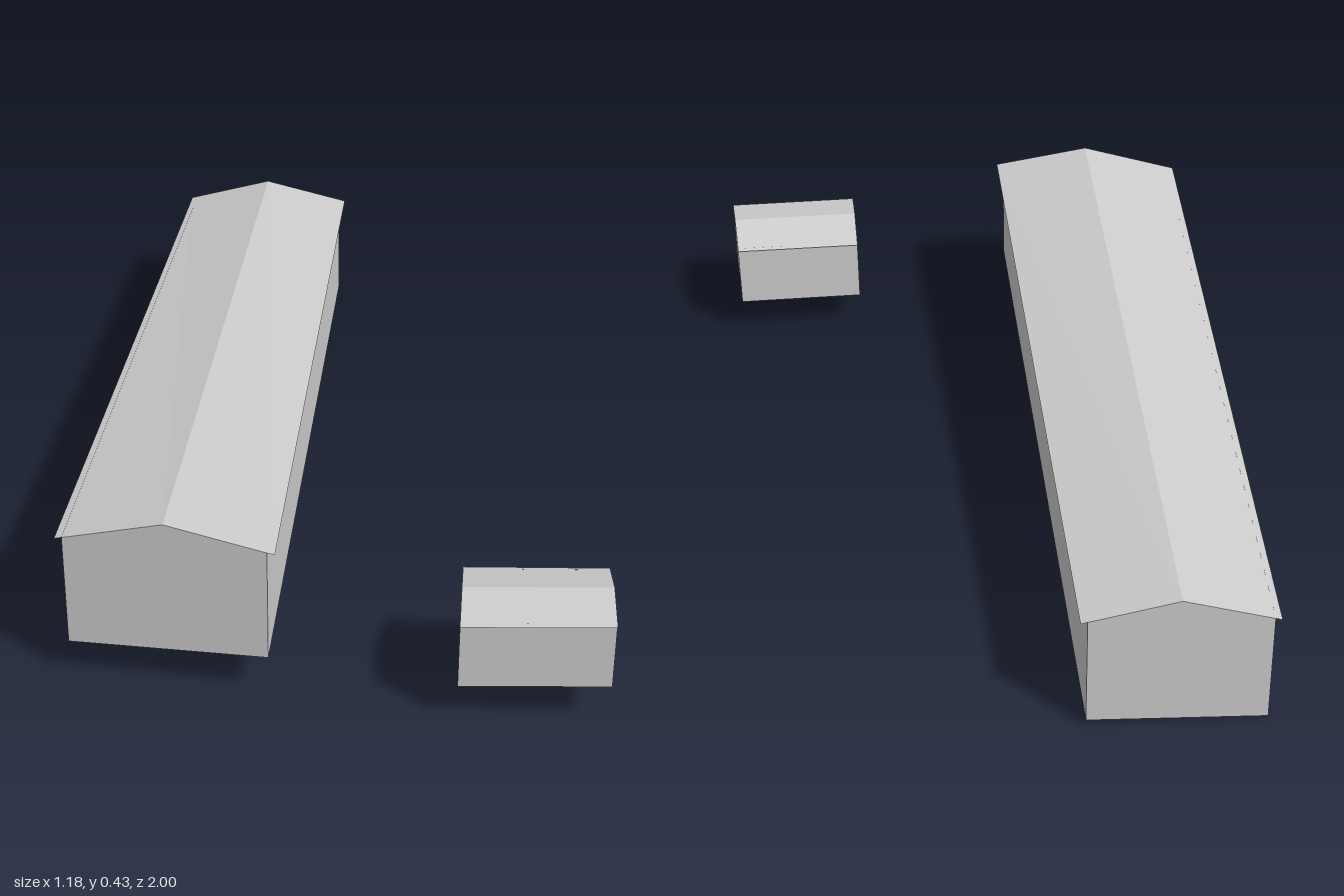
import * as THREE from 'three';

// Geometry from flat polygons, each a list of points in counter-clockwise order
function faces(polygons) {
  const pos = [];
  for (const p of polygons)
    for (let i = 1; i < p.length - 1; i++) pos.push(...p[0], ...p[i], ...p[i + 1]);
  const g = new THREE.BufferGeometry();
  g.setAttribute('position', new THREE.Float32BufferAttribute(pos, 3));
  g.computeVertexNormals();
  return g;
}

// Point on the line a-b, t beyond 1 overshoots
const along = (a, b, t) => a.map((v, i) => v + (b[i] - v) * t);

// Open-bottomed hall between two gable ends. Each end gives its two base
// corners; p is on the first long wall, q on the second.
function building(name, end1, end2, height, rise, overhang, material) {
  const section = ({ p, q }) => {
    const up = (c) => [c[0], c[1] + height, c[2]];
    const pTop = up(p), qTop = up(q);
    const ridge = along(pTop, qTop, 0.5);
    ridge[1] += rise;
    return {
      p, q, pTop, qTop, ridge,
      pEave: along(ridge, pTop, 1 + overhang),
      qEave: along(ridge, qTop, 1 + overhang),
    };
  };
  const a = section(end1), b = section(end2);
  const group = new THREE.Group();
  group.name = name;
  const add = (part, polygons) => {
    const mesh = new THREE.Mesh(faces(polygons), material);
    mesh.name = part;
    group.add(mesh);
  };
  add('longWalls', [
    [b.p, a.p, a.pTop, b.pTop],
    [a.q, b.q, b.qTop, a.qTop],
  ]);
  add('gableWalls', [
    [a.p, a.q, a.qTop, a.ridge, a.pTop],
    [b.q, b.p, b.pTop, b.ridge, b.qTop],
  ]);
  // Sheet roof, its eaves reaching a little past the long walls
  add('roof', [
    [b.pEave, a.pEave, a.ridge, b.ridge],
    [a.qEave, b.qEave, b.ridge, a.ridge],
  ]);
  return group;
}

export function createModel() {
  const grey = new THREE.MeshStandardMaterial({ color: 0xcccccc, side: THREE.DoubleSide });
  grey.name = 'plainGrey';

  const model = new THREE.Group();
  model.name = 'farmBuildings';
  // Long hall, running down towards the back with the slope
  model.add(building('longHall',
    { p: [-0.578, 0.09, 0.748], q: [-0.148, 0.106, 0.848] },
    { p: [-0.28, 0.0, -0.997], q: [0.11, 0.015, -0.928] },
    0.275, 0.052, 0.075, grey));
  // Small shed with its ridge running across
  model.add(building('smallShed',
    { p: [0.57, 0.107, 0.985], q: [0.588, 0.096, 0.783] },
    { p: [0.247, 0.098, 0.955], q: [0.275, 0.088, 0.751] },
    0.166, 0.023, 0.11, grey));
  return model;
}
